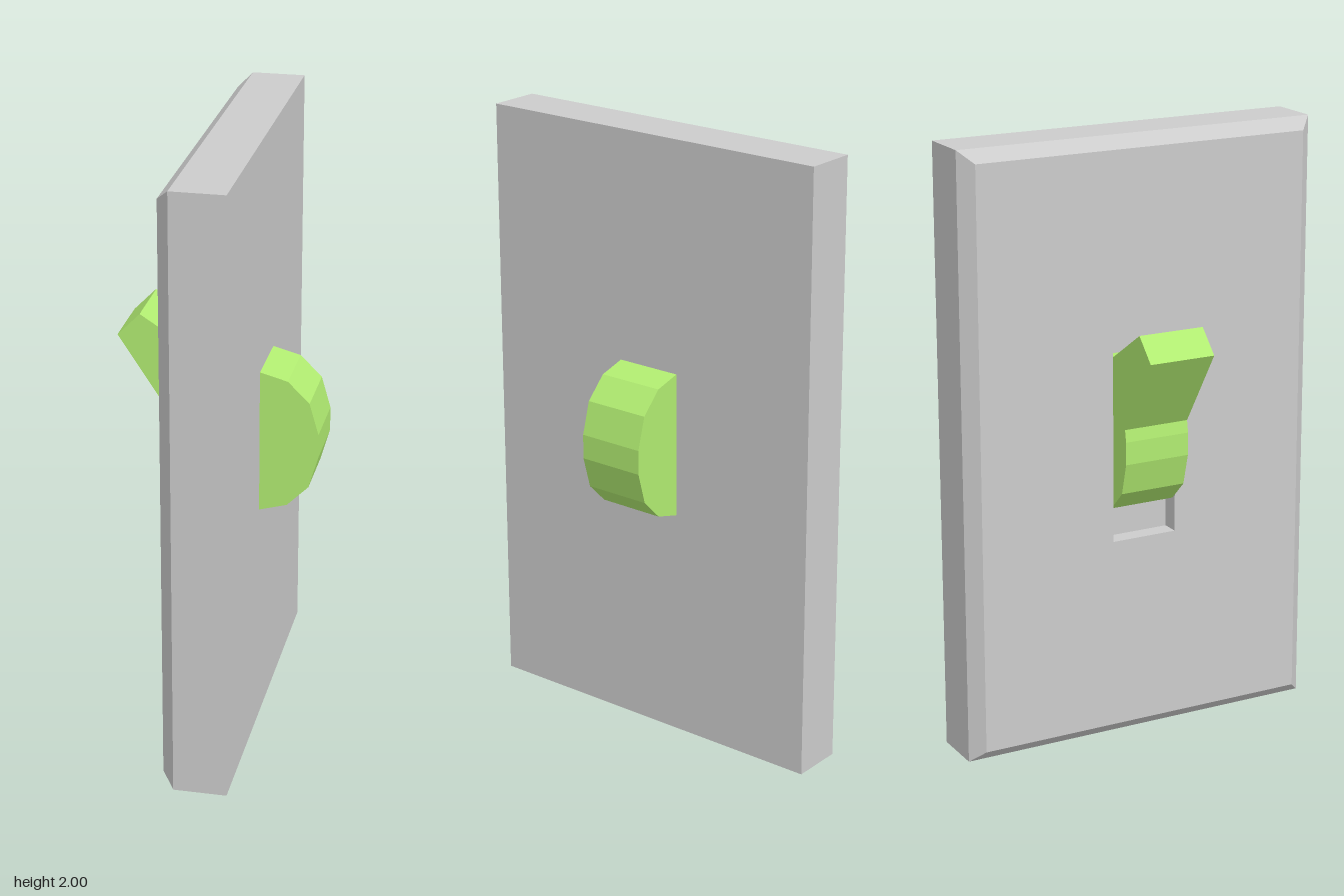
import * as THREE from 'three';

const plateMaterial = new THREE.MeshStandardMaterial({ color: 0xcccccc, flatShading: true, side: THREE.DoubleSide });
const toggleMaterial = new THREE.MeshStandardMaterial({ color: 0xb1ec71, flatShading: true });

// Joins rectangular rings [x, halfHeight, halfDepth], centred on the x axis, with flat faces
function loftRectangles(rings) {
  const corners = [[-1, -1], [1, -1], [1, 1], [-1, 1]];
  const point = ([x, h, d], i) => [x, corners[i % 4][0] * h, corners[i % 4][1] * d];
  const positions = [];
  for (let r = 0; r < rings.length - 1; r++) {
    for (let i = 0; i < 4; i++) {
      const a = point(rings[r], i), b = point(rings[r], i + 1);
      const c = point(rings[r + 1], i + 1), d = point(rings[r + 1], i);
      positions.push(...a, ...b, ...c);
      if (rings[r + 1][1] > 0) positions.push(...a, ...c, ...d);
    }
  }
  const geometry = new THREE.BufferGeometry();
  geometry.setAttribute('position', new THREE.Float32BufferAttribute(positions, 3));
  geometry.computeVertexNormals();
  return geometry;
}

export function createModel() {
  const group = new THREE.Group();
  group.name = 'lightSwitch';

  // Hollow wall plate: slot wall, slotted face, bevel, sides, closed back
  const plate = new THREE.Mesh(loftRectangles([
    [-0.02, 0.32, 0.113],
    [-0.08, 0.32, 0.113],
    [-0.08, 0.96, 0.578],
    [-0.038, 1, 0.622],
    [0.135, 1, 0.622],
    [0.135, 0, 0],
  ]), plateMaterial);
  plate.name = 'wallPlate';
  plate.position.y = 1;
  group.add(plate);

  // Toggle: faceted round hub with a tapering lever, extruded across the slot
  const profile = [
    [-0.325, 1.335], [-0.158, 1.08], [-0.165, 1.04], [-0.165, 0.965], [-0.137, 0.86],
    [-0.065, 0.79], [0.035, 0.762], [0.125, 0.762], [0.225, 0.79], [0.295, 0.86],
    [0.325, 0.965], [0.325, 1.045], [0.295, 1.15], [0.225, 1.22], [0.125, 1.247],
    [0.005, 1.245], [-0.252, 1.41],
  ].map(([x, y]) => new THREE.Vector2(x, y));
  const width = 0.225;
  const geometry = new THREE.ExtrudeGeometry(new THREE.Shape(profile), { depth: width, bevelEnabled: false });
  geometry.translate(0, 0, -width / 2);
  const toggle = new THREE.Mesh(geometry, toggleMaterial);
  toggle.name = 'toggle';
  group.add(toggle);

  return group;
}
